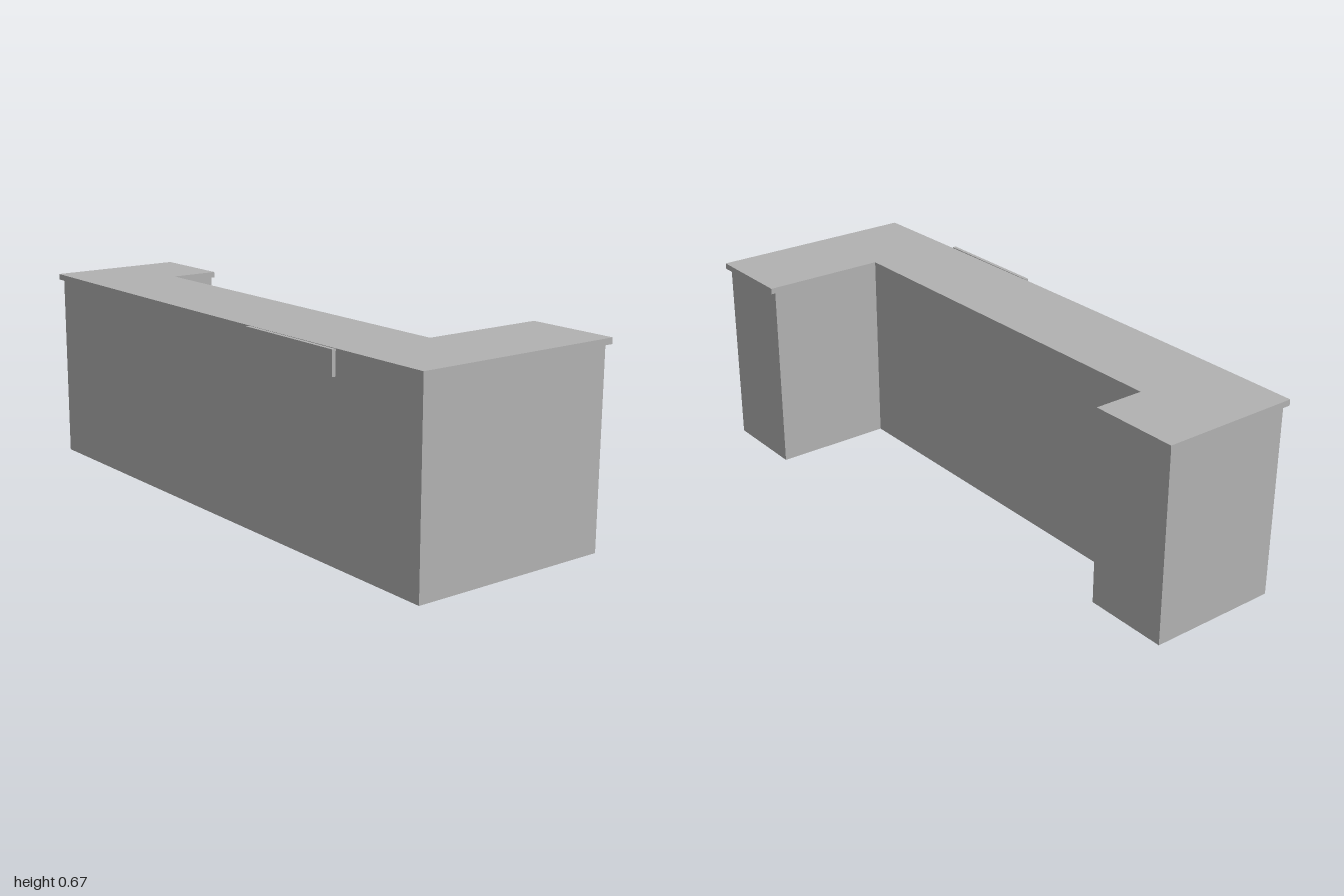
import * as THREE from 'three';

const BODY_TOP = 0.645;
const TOP = 0.665;

// Vertical walls along a closed floor plan of [x, z] corners
function wallGeometry(plan, y0, y1) {
  const positions = [];
  plan.forEach(([ax, az], i) => {
    const [bx, bz] = plan[(i + 1) % plan.length];
    positions.push(
      ax, y0, az, bx, y0, bz, bx, y1, bz,
      ax, y0, az, bx, y1, bz, ax, y1, az
    );
  });
  const geometry = new THREE.BufferGeometry();
  geometry.setAttribute('position', new THREE.Float32BufferAttribute(positions, 3));
  geometry.computeVertexNormals();
  return geometry;
}

// Horizontal slab from a floor plan of [x, z] corners
function slabGeometry(plan, y, depth) {
  const shape = new THREE.Shape(plan.map(([x, z]) => new THREE.Vector2(x, -z)));
  return new THREE.ExtrudeGeometry(shape, { depth, bevelEnabled: false })
    .rotateX(-Math.PI / 2)
    .translate(0, y, 0);
}

export function createModel() {
  const group = new THREE.Group();
  const grey = new THREE.MeshStandardMaterial({ color: 0xb2b2b2, side: THREE.DoubleSide });
  grey.name = 'plain grey';

  const add = (name, geometry) => {
    const mesh = new THREE.Mesh(geometry, grey);
    mesh.name = name;
    group.add(mesh);
    return mesh;
  };

  // Inner corners shared by the body and the worktop, which are flush there
  const innerRight = 0.683, innerLeft = -0.697, innerZ = 0.05;

  // Hollow counter body, open underneath
  add('counterBody', wallGeometry([
    [-0.988, 0.343], [0.986, 0.343], [0.986, -0.364], [innerRight, -0.364],
    [innerRight, innerZ], [innerLeft, innerZ], [innerLeft, -0.109], [-0.988, -0.109],
  ], 0, BODY_TOP));

  // Worktop with a slightly bowed front edge
  const front = [];
  const segments = 12;
  for (let i = 0; i <= segments; i++) {
    const x = -1 + (2 * i) / segments;
    front.push([x, 0.356 + 0.007 * (1 - x * x)]);
  }
  add('worktop', slabGeometry([
    ...front, [1, -0.378], [innerRight, -0.378],
    [innerRight, innerZ], [innerLeft, innerZ], [innerLeft, -0.122], [-1, -0.122],
  ], BODY_TOP, TOP - BODY_TOP));

  // Small panel hanging in front of the worktop edge
  add('frontPanel', new THREE.BoxGeometry(0.42, 0.08, 0.013))
    .position.set(0.43, TOP - 0.04, 0.3715);

  return group;
}
